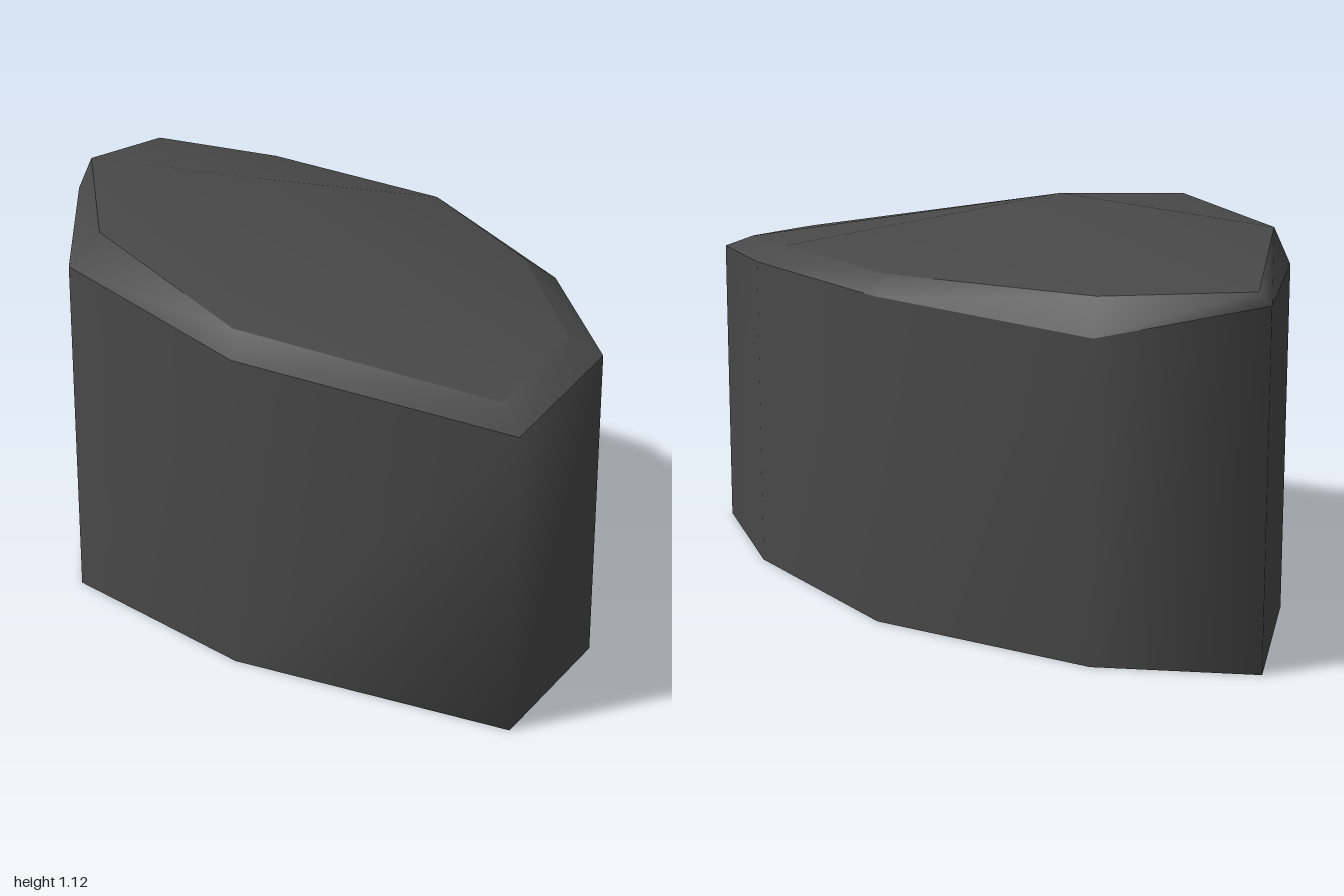
import * as THREE from 'three';

export function createModel() {
  const group = new THREE.Group();
  group.name = 'stoneBlock';
  const stone = new THREE.MeshStandardMaterial({ color: 0x484848, side: THREE.DoubleSide });
  stone.name = 'darkStone';

  // Nine corners, clockwise from above: upper rim of the wall, and inner rim of the bevel
  const rim = [
    [-0.71, 0.965, -1.0], [-0.27, 0.87, -0.94], [0.3, 0.91, -0.57],
    [0.67, 0.905, 0.01], [0.82, 0.87, 0.52], [0.63, 0.825, 1.0],
    [-0.14, 0.885, 0.73], [-0.67, 0.98, 0.32], [-0.825, 0.975, -0.44],
  ];
  const inner = [
    [-0.68, 0.995, -0.97], [-0.28, 0.97, -0.895], [0.28, 0.965, -0.53],
    [0.58, 0.955, 0.0], [0.73, 0.905, 0.5], [0.58, 0.875, 0.9],
    [-0.15, 0.94, 0.64], [-0.59, 1.07, 0.275], [-0.78, 1.075, -0.43],
  ];
  const base = rim.map(([x, , z]) => [x, 0, z]);
  const apex = [-0.21, 1.125, -0.12];
  const n = rim.length;

  function addPart(name, points, index) {
    const geometry = new THREE.BufferGeometry();
    geometry.setAttribute('position', new THREE.Float32BufferAttribute(points.flat(), 3));
    geometry.setIndex(index);
    geometry.computeVertexNormals();
    const mesh = new THREE.Mesh(geometry, stone);
    mesh.name = name;
    group.add(mesh);
  }

  // Smooth band joining two rings
  function addBand(name, lower, upper) {
    const index = [];
    for (let i = 0; i < n; i++) {
      const j = (i + 1) % n;
      index.push(j, i, n + i, j, n + i, n + j);
    }
    addPart(name, [...lower, ...upper], index);
  }

  // Upright wall, open underneath, and the sloping bevel
  addBand('wall', base, rim);
  addBand('bevel', rim, inner);

  // Shallow peaked top
  const fan = [];
  for (let i = 0; i < n; i++) fan.push(n, (i + 1) % n, i);
  addPart('top', [...inner, apex], fan);

  return group;
}
